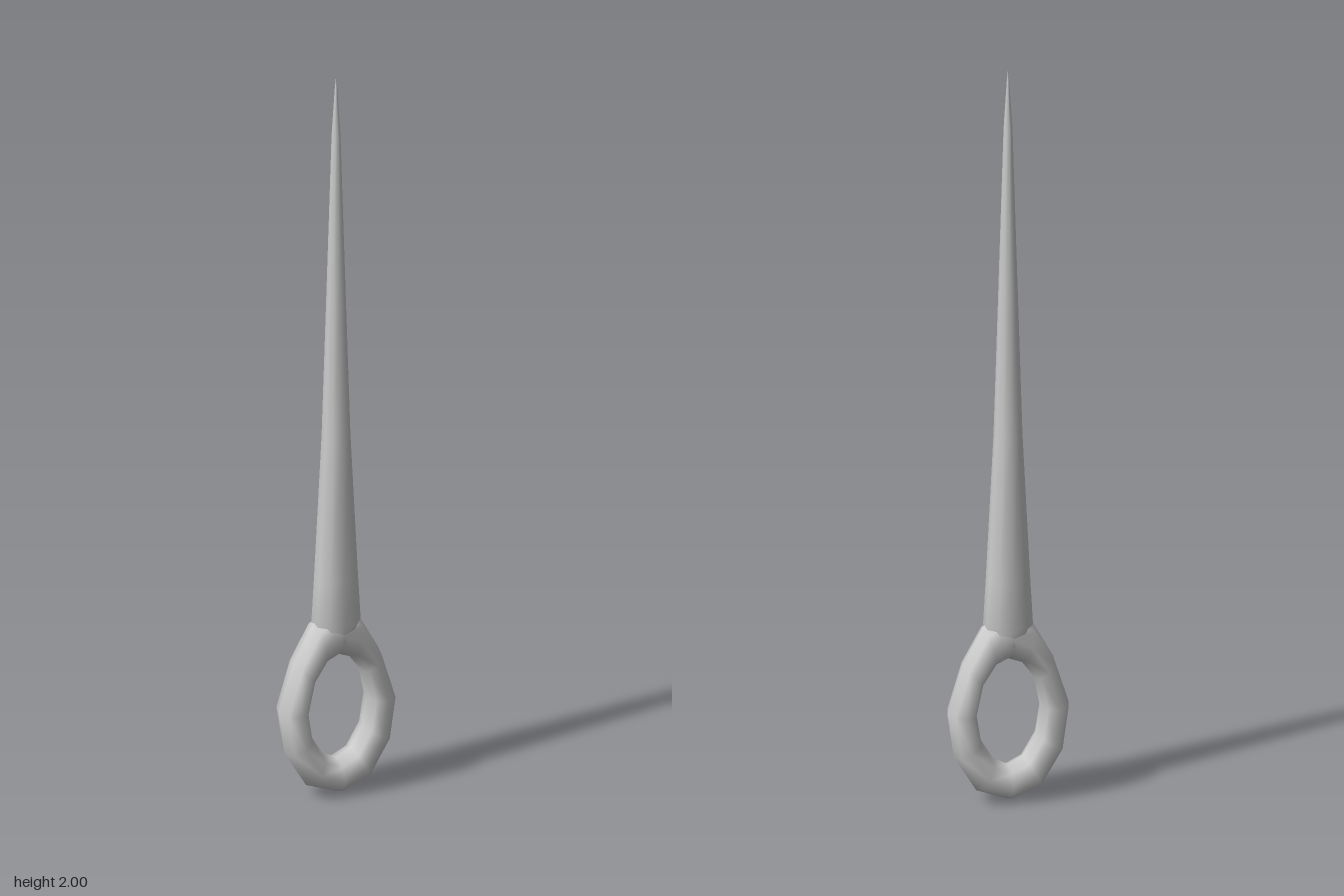
import * as THREE from 'three';

// Smooth skin over a list of point rings; closed joins the last ring to the first
function skin(rings, closed) {
  const n = rings[0].length, m = rings.length, index = [];
  for (let i = 0; i < (closed ? m : m - 1); i++) {
    for (let j = 0; j < n; j++) {
      const a = i * n + j, b = i * n + (j + 1) % n;
      const c = ((i + 1) % m) * n + j, d = ((i + 1) % m) * n + (j + 1) % n;
      index.push(a, c, b, b, c, d);
    }
  }
  const g = new THREE.BufferGeometry();
  g.setAttribute('position', new THREE.Float32BufferAttribute(rings.flat(2), 3));
  g.setIndex(index);
  g.computeVertexNormals();
  return g;
}

export function createModel() {
  const group = new THREE.Group();
  const material = new THREE.MeshStandardMaterial({ color: 0xcccccc, side: THREE.DoubleSide });
  const add = (name, geometry) => {
    const mesh = new THREE.Mesh(geometry, material);
    mesh.name = name;
    group.add(mesh);
  };

  // Eye: outer x, y and inner x, y of one half, from bottom to top
  const half = [
    [0, 0, 0, 0.095],
    [0.085, 0.032, 0.04, 0.115],
    [0.145, 0.13, 0.073, 0.17],
    [0.162, 0.25, 0.085, 0.245],
    [0.12, 0.38, 0.07, 0.325],
    [0.064, 0.48, 0.038, 0.37],
    [0, 0.52, 0, 0.385],
  ];
  const mirrored = half.slice(1, -1).reverse().map(([ox, oy, ix, iy]) => [-ox, oy, -ix, iy]);
  const eyeRings = [...half, ...mirrored].map(([ox, oy, ix, iy]) =>
    Array.from({ length: 8 }, (_, k) => {
      const a = (k / 8) * Math.PI * 2, t = (1 + Math.cos(a)) / 2;
      return [ix + (ox - ix) * t, iy + (oy - iy) * t, -0.054 * Math.sin(a)];
    }));
  add('eye', skin(eyeRings, true));

  // Shaft: height, half width, half depth, tapering to the point
  const profile = [
    [0.43, 0.045, 0.05],
    [0.48, 0.063, 0.055],
    [0.6, 0.056, 0.052],
    [1.0, 0.036, 0.038],
    [1.4, 0.024, 0.025],
    [1.84, 0.011, 0.012],
    [1.97, 0.003, 0.003],
    [2.0, 0, 0],
  ];
  const shaftRings = profile.map(([y, rx, rz]) =>
    Array.from({ length: 10 }, (_, k) => {
      const a = ((k + 0.5) / 10) * Math.PI * 2;
      return [rx * 1.03 * Math.cos(a), y, -rz * Math.sin(a)];
    }));
  add('shaft', skin(shaftRings.map((r) => r.slice().reverse()), false));

  return group;
}
